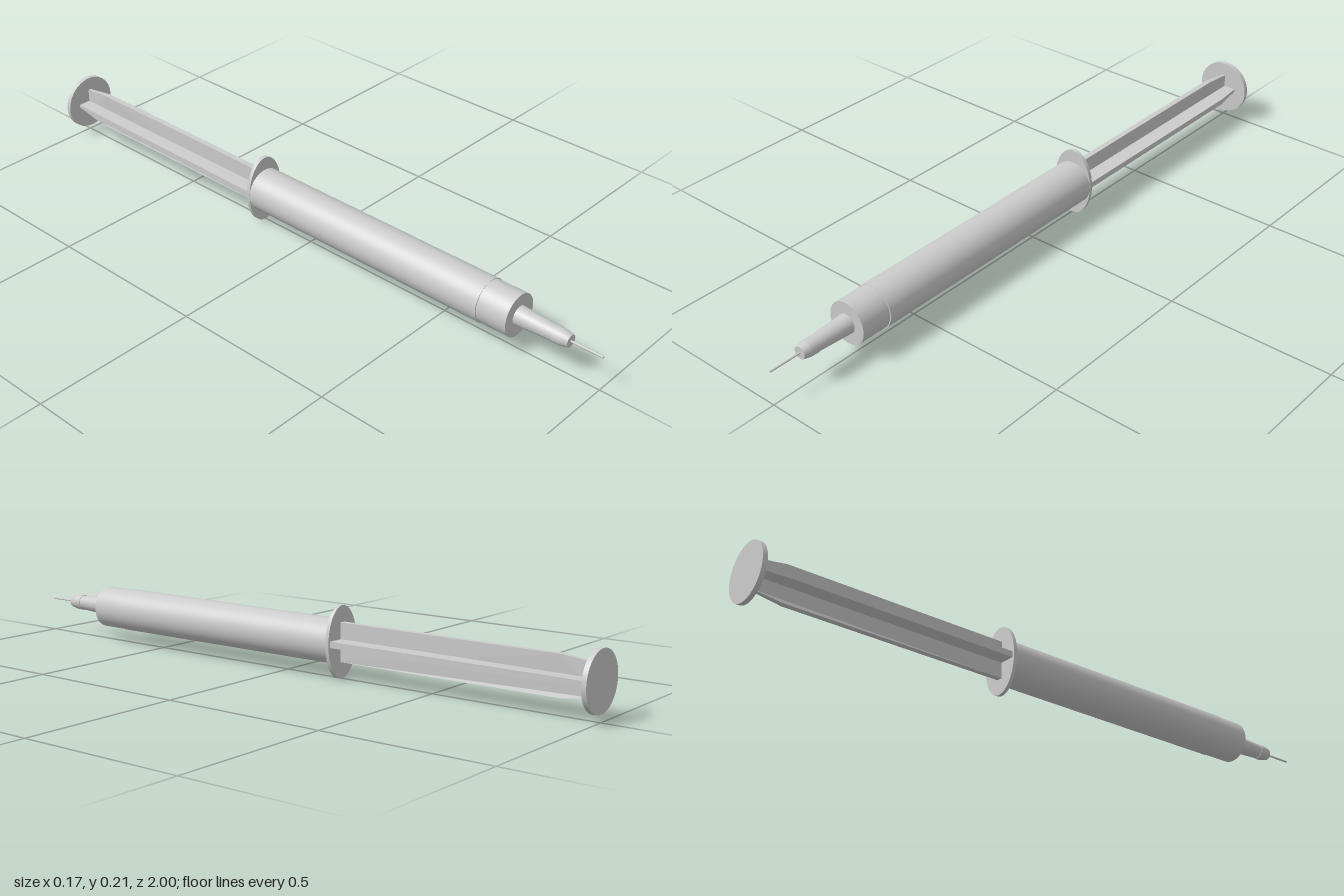
import * as THREE from 'three';

const material = new THREE.MeshStandardMaterial({ color: 0xcccccc });

export function createModel() {
  const model = new THREE.Group();
  const body = new THREE.Group();
  body.position.y = 0.106; // common axis of all parts
  model.add(body);

  const add = (name, geometry) => {
    const mesh = new THREE.Mesh(geometry, material);
    mesh.name = name;
    body.add(mesh);
    return mesh;
  };
  // Cylinder along z, from z0 (back) to z1 (front)
  const rod = (name, z0, r0, z1, r1, sides = 64) => add(name,
    new THREE.CylinderGeometry(r1, r0, z1 - z0, sides).rotateX(Math.PI / 2).translate(0, 0, (z0 + z1) / 2));

  // Barrel with its slightly narrower front end
  rod('barrel', -0.19, 0.065, 0.645, 0.065);
  rod('barrelFront', 0.64, 0.064, 0.74, 0.064).scale.x = 0.96;

  // Needle hub: tapered nozzle, collar and tip
  rod('nozzle', 0.735, 0.029, 0.86, 0.0225, 40);
  rod('hubCollar', 0.855, 0.0245, 0.88, 0.0235, 40);
  rod('hubTip', 0.88, 0.0235, 0.902, 0.0185, 40);
  rod('needle', 0.89, 0.003, 1, 0.003, 12);

  // Oval finger flange
  rod('fingerFlange', -0.196, 1, -0.185, 1).scale.set(0.065, 0.105, 1);

  // Plunger: two crossed ribs that narrow and thin towards the thumb rest
  const ribShape = new THREE.Shape([
    [-0.057, -0.18], [0.057, -0.18], [0.057, -0.89], [0.044, -0.99], [-0.044, -0.99], [-0.057, -0.89],
  ].map(([x, z]) => new THREE.Vector2(x, -z)));
  for (const [name, angle] of [['horizontalRib', 0], ['verticalRib', Math.PI / 2]]) {
    const rib = new THREE.ExtrudeGeometry(ribShape, { depth: 0.018, bevelEnabled: false });
    rib.translate(0, 0, -0.009).rotateX(-Math.PI / 2);
    const p = rib.attributes.position;
    for (let i = 0; i < p.count; i++) if (p.getZ(i) < -0.95) p.setY(i, p.getY(i) * 0.5);
    rib.rotateZ(angle);
    rib.computeVertexNormals();
    add(name, rib);
  }
  rod('thumbRest', -1, 0.085, -0.986, 0.085);

  return model;
}
